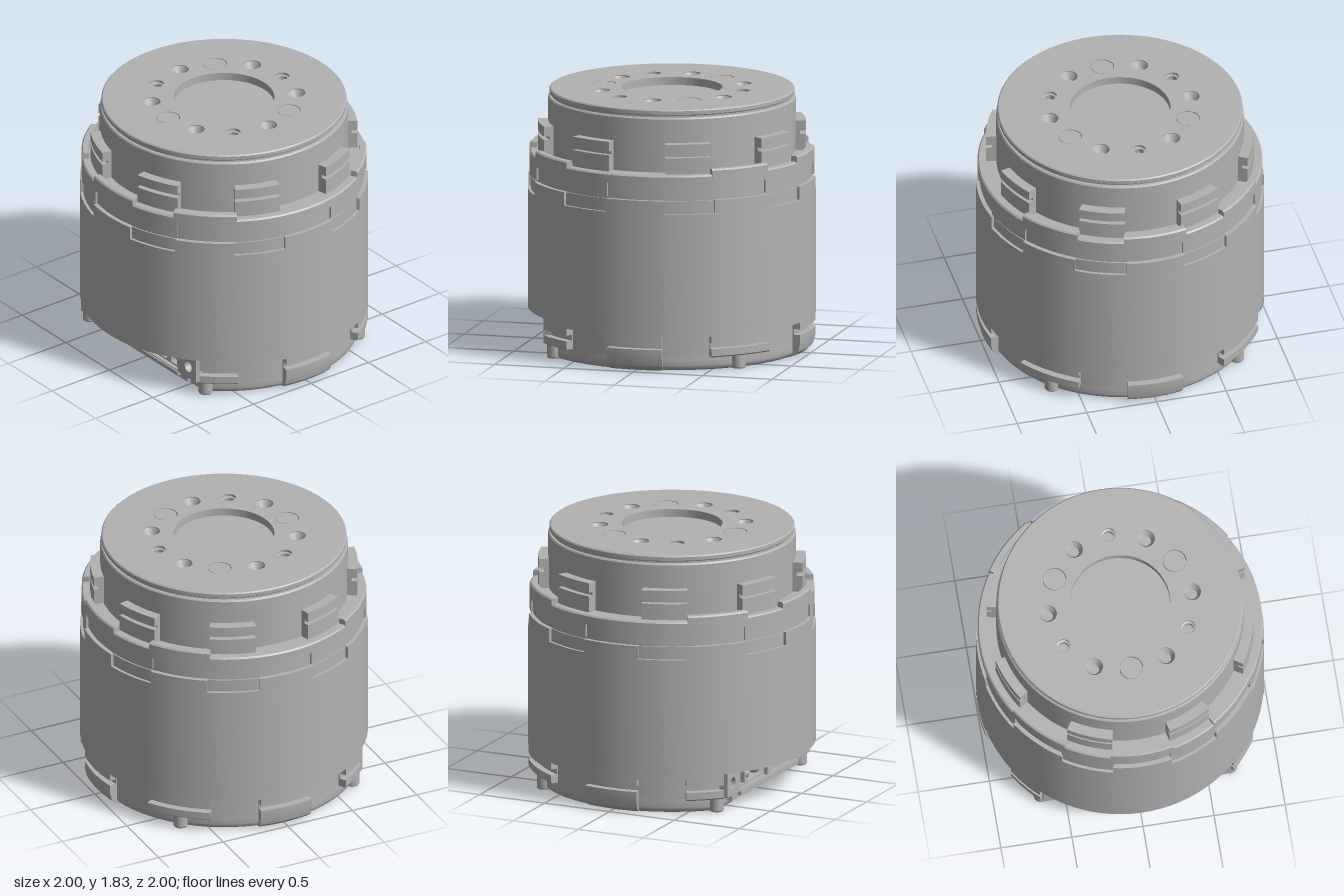
import * as THREE from 'three';
import { toCreasedNormals } from 'three/addons/utils/BufferGeometryUtils.js';

const DEG = Math.PI / 180;

export function createModel() {
  const group = new THREE.Group();
  const grey = new THREE.MeshStandardMaterial({ color: 0xb2b2b2 });
  grey.name = 'machined grey';

  function add(name, geometry, x = 0, y = 0, z = 0) {
    const mesh = new THREE.Mesh(geometry, grey);
    mesh.name = name;
    mesh.position.set(x, y, z);
    group.add(mesh);
    return mesh;
  }
  // full turned part from [radius, height] points, listed counter-clockwise
  const turned = (pts, seg = 96) =>
    toCreasedNormals(new THREE.LatheGeometry(pts.map(p => new THREE.Vector2(...p)), seg), 0.5);

  // closed profile swept around the axis between two azimuths (degrees from the front)
  function sweep(pts, a0, a1) {
    const shape = new THREE.Shape(pts.map(p => new THREE.Vector2(...p)));
    const span = (a1 - a0) * DEG;
    const g = new THREE.ExtrudeGeometry(shape, {
      depth: span, steps: Math.max(2, Math.ceil((a1 - a0) / 3.5)), bevelEnabled: false });
    const p = g.attributes.position;
    for (let i = 0; i < p.count; i++) {
      const r = p.getX(i), a = a1 * DEG - p.getZ(i);
      p.setXYZ(i, r * Math.sin(a), p.getY(i), r * Math.cos(a));
    }
    return toCreasedNormals(g, 0.5);
  }
  const band = (r0, r1, y0, y1) => [[r0, y0], [r1, y0], [r1, y1], [r0, y1]];

  // horizontal plate, its shape drawn with y pointing to the back
  function plate(shape, height, bevel = 0) {
    const g = new THREE.ExtrudeGeometry(shape, {
      depth: height - 2 * bevel, curveSegments: 96, bevelEnabled: bevel > 0,
      bevelSize: bevel, bevelThickness: bevel, bevelSegments: 4 });
    g.rotateX(-Math.PI / 2).translate(0, bevel, 0);
    return toCreasedNormals(g, 0.5);
  }
  // disc cut straight at the front
  function cutDisc(r, chord) {
    const a = Math.asin(chord / r);
    return new THREE.Shape().absarc(0, 0, r, -a, Math.PI + a, false);
  }
  const circle = (x, y, r) => new THREE.Path().absarc(x, y, r, 0, Math.PI * 2, true);
  const rect = (Type, x0, y0, x1, y1) => new Type([[x0, y0], [x1, y0], [x1, y1], [x0, y1]]
    .map(p => new THREE.Vector2(...p)));

  // main housing
  add('housing', turned([[0, 0.28], [1, 0.28], [1, 1.12], [0.98, 1.12], [0.98, 1.21],
    [0.97, 1.21], [0.97, 1.23], [0.975, 1.23], [0.975, 1.32], [0.99, 1.32], [0.99, 1.38],
    [0.98, 1.39], [0.8, 1.39]]));
  add('housingSkirt', sweep(band(0.85, 1, 0.25, 0.281), 43, 317));

  // interlocking teeth on both sides of the seam
  for (let i = 0; i < 8; i++) {
    const a = i * 45;
    add('lowerTooth', sweep(band(0.95, 1, 1.115, 1.213), a - 12, a + 12));
    add('upperTooth', sweep(band(0.95, 0.99, 1.227, 1.325), a + 11.5, a + 33.5));
    // slotted bayonet lugs around the neck
    add('bayonetLug', sweep([[0.84, 1.38], [0.93, 1.38], [0.93, 1.505], [0.89, 1.505],
      [0.89, 1.53], [0.93, 1.53], [0.93, 1.6], [0.84, 1.6]], a + 12.5, a + 32.5));
    // raised lip segments on the flange
    if (i % 4 !== 2)
      add('flangeLip', sweep([[0.94, 1.38], [0.99, 1.38], [0.99, 1.42], [0.98, 1.43],
        [0.94, 1.43]], a - 13, a + 13));
  }

  // neck and output flange
  add('neck', turned([[0.8, 1.35], [0.86, 1.35], [0.86, 1.765], [0.852, 1.775], [0.835, 1.775],
    [0.835, 1.78], [0, 1.77]]));
  add('flangeRim', turned([[0.834, 1.79], [0.846, 1.79], [0.852, 1.796], [0.852, 1.822],
    [0.844, 1.83], [0.834, 1.83]]));

  const top = new THREE.Shape().absarc(0, 0, 0.835, 0, Math.PI * 2, false);
  top.holes.push(circle(0, 0, 0.35));
  for (let i = 0; i < 12; i++) {
    const a = i * 30 * DEG, x = 0.507 * Math.cos(a), z = 0.507 * Math.sin(a);
    if (i % 2 === 0) {
      top.holes.push(circle(x, -z, 0.062));
      add('boltCountersink', turned([[0.03, 0], [0.062, 0], [0.062, 0.055], [0.03, 0]], 32),
        x, 1.768, z);
    } else if (i % 4 === 1) {
      top.holes.push(circle(x, -z, 0.05));
      add('threadedHoleRim', turned([[0.036, 0], [0.05, 0], [0.05, 0.045], [0.036, 0.04],
        [0.036, 0]], 32), x, 1.768, z);
    } else {
      const r = 0.488, dx = r * Math.cos(a), dz = r * Math.sin(a);
      top.holes.push(circle(dx, -dz, 0.083));
      add('dowelPin', new THREE.CylinderGeometry(0.078, 0.078, 0.06, 32), dx, 1.798, dz);
    }
  }
  add('outputFlange', plate(top, 0.06), 0, 1.77, 0);

  // base cover, cut straight at the front
  add('baseCover', plate(cutDisc(0.9, 0.64), 0.14, 0.04));
  add('baseCore', plate(cutDisc(0.94, 0.63), 0.21), 0, 0.08, 0);

  // base clips with a groove, at the sides and the back
  for (const a of [90, 180, 270])
    add('baseClip', sweep([[0.8, 0], [0.92, 0], [0.96, 0.015], [0.985, 0.04], [1, 0.1],
      [1, 0.16], [0.95, 0.16], [0.95, 0.2], [1, 0.2], [1, 0.26], [0.8, 0.26]],
      a - 11.5, a + 11.5));

  // diagonal clips, each with a screw below
  for (const a of [45, 135, 225, 315]) {
    const a0 = a === 45 ? 43 : a - 13.5, a1 = a === 315 ? 317 : a + 13.5;
    add('diagonalClip', sweep([[0.8, 0.1], [0.99, 0.1], [1, 0.11], [1, 0.16], [0.95, 0.16],
      [0.95, 0.2], [1, 0.2], [1, 0.26], [0.8, 0.26]], a0, a1));
    const x = 0.94 * Math.sin(a * DEG), z = 0.94 * Math.cos(a * DEG);
    add('screwHead', turned([[0, 0.025], [0.022, 0.025], [0.022, 0], [0.045, 0],
      [0.05, 0.008], [0.05, 0.11]], 24), x, 0.004, z);
  }

  // connector wall at the front
  const wall = rect(THREE.Shape, -0.66, 0.1, 0.66, 0.285);
  for (const s of [-1, 1]) {
    wall.holes.push(rect(THREE.Path, s * 0.235 - 0.215, 0.11, s * 0.235 + 0.215, 0.265));
    wall.holes.push(circle(s * 0.57, 0.19, 0.04));
  }
  add('connectorWall', toCreasedNormals(new THREE.ExtrudeGeometry(wall,
    { depth: 0.13, bevelEnabled: false, curveSegments: 16 }), 0.5), 0, 0, 0.615);
  add('connectorSill', new THREE.BoxGeometry(1.06, 0.055, 0.12), 0, 0.0725, 0.66);
  add('connectorFrame', new THREE.BoxGeometry(0.92, 0.03, 0.03), 0, 0.088, 0.74);

  // two sockets, each with two round power pins and two thin signal pins
  for (const s of [-1, 1]) {
    const face = rect(THREE.Shape, s * 0.235 - 0.205, 0.118, s * 0.235 + 0.205, 0.258);
    const c = s * 0.175, w = 0.145, h = 0.058, k = 0.03;
    face.holes.push(new THREE.Path([[-w, -h + k], [-w + k, -h], [w - k, -h], [w, -h + k],
      [w, h - k], [w - k, h], [-w + k, h], [-w, h - k]]
      .map(p => new THREE.Vector2(c + p[0], 0.188 + p[1]))));
    face.holes.push(rect(THREE.Path, s * 0.38 - 0.035, 0.13, s * 0.38 + 0.035, 0.246));
    add('socketHousing', new THREE.ExtrudeGeometry(face,
      { depth: 0.1, bevelEnabled: false }), 0, 0, 0.625);
    for (const x of [0.1, 0.25]) {
      const pin = new THREE.CapsuleGeometry(0.038, 0.04, 6, 20).rotateX(Math.PI / 2);
      add('powerPin', pin, s * x, 0.175, 0.66);
    }
    for (const y of [0.16, 0.215])
      add('signalPin', new THREE.BoxGeometry(0.014, 0.014, 0.08), s * 0.38, y, 0.665);
  }
  return group;
}
